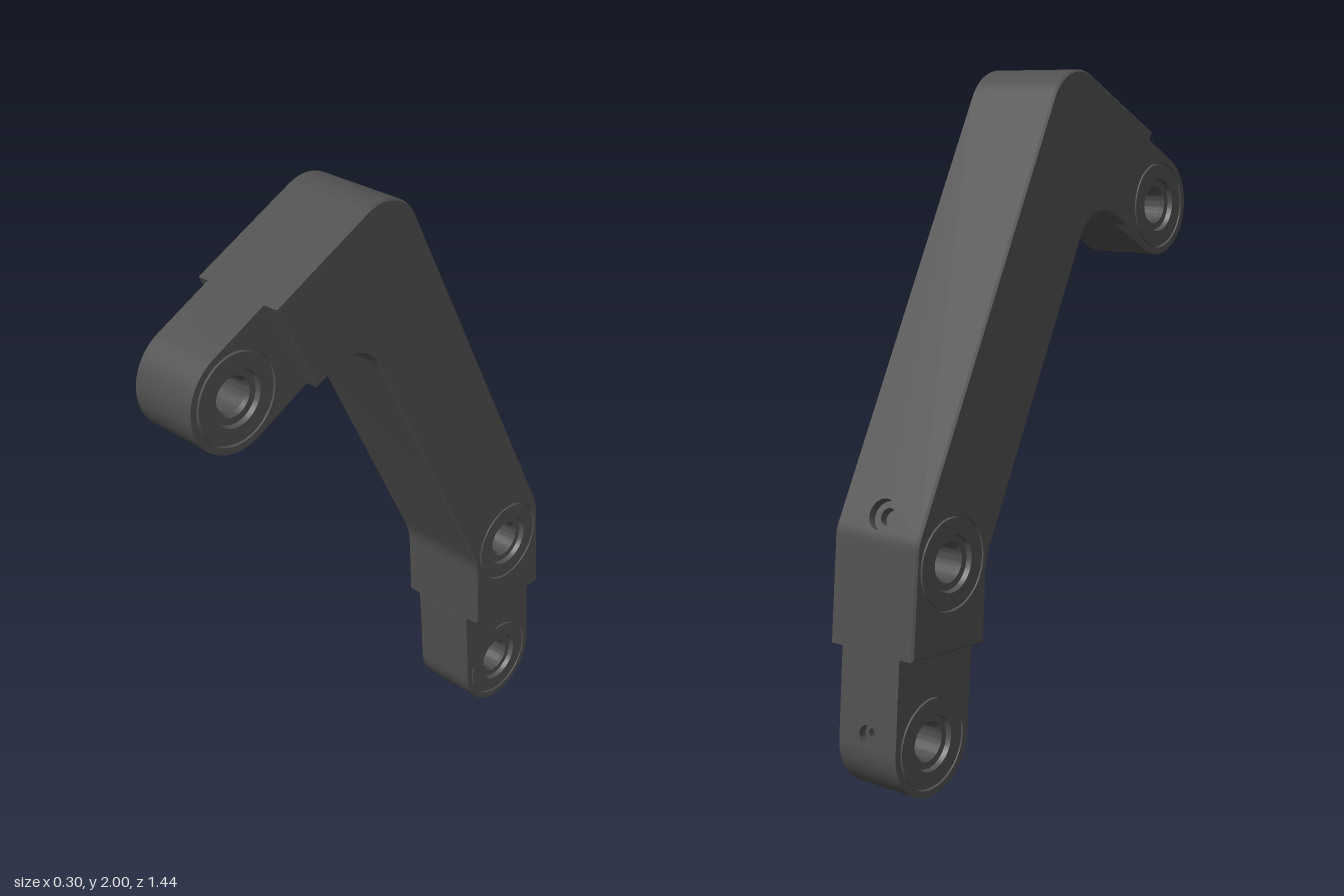
import * as THREE from 'three';
import { mergeGeometries, toCreasedNormals } from 'three/addons/utils/BufferGeometryUtils.js';

const material = new THREE.MeshStandardMaterial({ color: 0x505050 });
const V = (x, y) => new THREE.Vector2(x, y);
const SEAT = 0.135; // radius of a bearing seat
const R = 0.155;    // half height of the arm section

// Polygon corners [u, v, radius], counter-clockwise, to an outline with rounded corners
function outline(corners) {
  const out = [];
  const add = (p) => { if (!out.length || out[out.length - 1].distanceTo(p) > 1e-4) out.push(p); };
  corners.forEach(([x, y, r = 0], i) => {
    const n = corners.length, p = V(x, y);
    if (!r) return add(p);
    const a = corners[(i + n - 1) % n], b = corners[(i + 1) % n];
    const d1 = p.clone().sub(V(a[0], a[1])).normalize();
    const d2 = V(b[0], b[1]).sub(p).normalize();
    const turn = Math.atan2(d1.cross(d2), d1.dot(d2));
    const start = p.clone().addScaledVector(d1, -r * Math.tan(Math.abs(turn) / 2));
    const centre = start.clone().addScaledVector(V(-d1.y, d1.x), r * Math.sign(turn));
    const steps = Math.max(4, Math.ceil(Math.abs(turn) / 0.1));
    for (let k = 0; k <= steps; k++) add(start.clone().rotateAround(centre, turn * k / steps));
  });
  if (out[0].distanceTo(out[out.length - 1]) < 1e-4) out.pop();
  return out;
}

// Moves an outline inwards by c
function inset(pts, c) {
  const n = pts.length;
  const normal = (i) => {
    const d = pts[(i + 1) % n].clone().sub(pts[i]).normalize();
    return V(d.y, -d.x);
  };
  return pts.map((p, i) => {
    const a = normal((i + n - 1) % n), b = normal(i);
    return p.clone().addScaledVector(a.clone().add(b), -c / (1 + a.dot(b)));
  });
}

function circle(x, y, r, n = 48) {
  return Array.from({ length: n }, (_, i) =>
    V(x + r * Math.cos(i / n * 2 * Math.PI), y + r * Math.sin(i / n * 2 * Math.PI)));
}

function face(pts, hole) {
  const shape = new THREE.Shape(pts);
  if (hole) shape.holes.push(new THREE.Path(hole));
  return new THREE.ShapeGeometry(shape).toNonIndexed();
}

// Slab of half width w with one bearing seat, chamfered rims and an optional screw hole in its edge
function slab(name, pts, w, c, seat, screw) {
  const group = new THREE.Group(), parts = [], n = pts.length;
  const rim = c ? inset(pts, c) : pts;
  const cap = face(rim, circle(seat.x, seat.y, SEAT));
  parts.push(cap.clone().translate(0, 0, w), cap.clone().rotateY(Math.PI).scale(-1, 1, 1).translate(0, 0, -w));
  // restore the winding of the mirrored cap
  const pos = parts[1].attributes.position;
  for (let i = 0; i < pos.count; i += 3) {
    const a = new THREE.Vector3().fromBufferAttribute(pos, i + 1);
    const b = new THREE.Vector3().fromBufferAttribute(pos, i + 2);
    pos.setXYZ(i + 1, b.x, b.y, b.z);
    pos.setXYZ(i + 2, a.x, a.y, a.z);
  }

  // wall segment closest to the screw
  let best = -1, near = Infinity;
  if (screw) pts.forEach((a, i) => {
    const b = pts[(i + 1) % n];
    const q = new THREE.Line3(new THREE.Vector3(a.x, a.y, 0), new THREE.Vector3(b.x, b.y, 0))
      .closestPointToPoint(new THREE.Vector3(screw.x, screw.y, 0), true, new THREE.Vector3());
    const d = Math.hypot(q.x - screw.x, q.y - screw.y);
    if (d < near) { near = d; best = i; }
  });

  const h = w - c, strip = [];
  const quad = (a, b, za, d, e, zd) => strip.push(
    a.x, a.y, za, b.x, b.y, za, e.x, e.y, zd, a.x, a.y, za, e.x, e.y, zd, d.x, d.y, zd);
  pts.forEach((a, i) => {
    const j = (i + 1) % n, b = pts[j];
    if (c) {
      quad(a, b, h, rim[i], rim[j], w);
      quad(rim[i], rim[j], -w, a, b, -h);
    }
    if (i !== best) return quad(a, b, -h, a, b, h);
    // flat wall with the screw hole
    const d = b.clone().sub(a), len = d.length();
    d.divideScalar(len);
    const q = V(screw.x, screw.y).sub(a).dot(d);
    const frame = new THREE.Matrix4().makeBasis(new THREE.Vector3(d.x, d.y, 0),
      new THREE.Vector3(0, 0, 1), new THREE.Vector3(d.y, -d.x, 0)).setPosition(a.x, a.y, 0);
    parts.push(face([V(0, -h), V(len, -h), V(len, h), V(0, h)], circle(q, 0, screw.r, 32)).applyMatrix4(frame));
    const r = screw.r;
    const pocket = new THREE.LatheGeometry(
      [V(r, 0), V(r, -0.025), V(r * 0.55, -0.025), V(r * 0.55, -0.05), V(0, -0.05)], 32);
    const mesh = new THREE.Mesh(toCreasedNormals(pocket, 0.6), material);
    mesh.name = name + 'SetScrew';
    mesh.geometry.rotateX(Math.PI / 2).translate(q, 0, 0).applyMatrix4(frame);
    group.add(mesh);
  });
  const walls = new THREE.BufferGeometry();
  walls.setAttribute('position', new THREE.Float32BufferAttribute(strip, 3));
  parts.forEach((g) => { g.deleteAttribute('uv'); g.deleteAttribute('normal'); });
  const body = new THREE.Mesh(toCreasedNormals(mergeGeometries([...parts, walls]), 0.5), material);
  body.name = name;
  group.add(body, bearing(name + 'Bearing', seat, w));
  group.name = name + 'Group';
  return group;
}

// Bearing with a bore, a dished inner ring and a thin groove around it
function bearing(name, at, w) {
  const half = [[SEAT, w], [SEAT, w - 0.012], [0.128, w - 0.012], [0.128, w], [0.082, w],
    [0.078, w - 0.015], [0.058, w - 0.015], [0.05, w - 0.025]];
  const profile = [...half, ...half.map(([r, y]) => [r, -y]).reverse()].map(([r, y]) => V(r, y));
  const geo = toCreasedNormals(new THREE.LatheGeometry(profile, 48), 0.5);
  const mesh = new THREE.Mesh(geo.rotateX(Math.PI / 2), material);
  mesh.name = name;
  mesh.position.set(at.x, at.y, 0);
  return mesh;
}

// Round-ended lug: centre c, unit direction d towards the arm, length to the arm
function lug(c, d, length) {
  const s = V(d.y, -d.x);
  const at = (along, side) => {
    const p = c.clone().addScaledVector(d, along).addScaledVector(s, side);
    return [p.x, p.y];
  };
  return outline([[...at(-R, -R), R], [...at(-R, R), R], at(length, R), at(length, -R)]);
}

export function createModel() {
  const model = new THREE.Group();
  model.name = 'bentLinkArm';
  // side profile is drawn in (u, v) and turned so that u runs to the back
  const link = new THREE.Group();
  link.name = 'link';
  link.rotation.y = Math.PI / 2;
  model.add(link);

  const arm = outline([
    [0.384, 0.41], [0.693, 0.434], [0.665, 0.753, 0.1], [-0.01, 2.049, 0.14],
    [-0.464, 1.8185], [-0.32, 1.5435], [-0.142, 1.631, 0.125], [0.369, 0.65, 0.2],
  ]);
  link.add(slab('arm', arm, 0.15, 0.006, V(0.52, 0.672), { x: 0.635, y: 0.811, r: 0.045 }));

  const upperDir = V(0.887, 0.462).normalize();
  link.add(slab('upperLug', lug(V(-0.567, 1.59), upperDir, 0.197), 0.108, 0, V(-0.567, 1.59)));

  const lowerDir = V(-0.08, 0.997).normalize();
  link.add(slab('lowerLug', lug(V(0.56, 0.155), lowerDir, 0.268), 0.104, 0, V(0.56, 0.155),
    { x: 0.713, y: 0.2, r: 0.03 }));
  return model;
}
